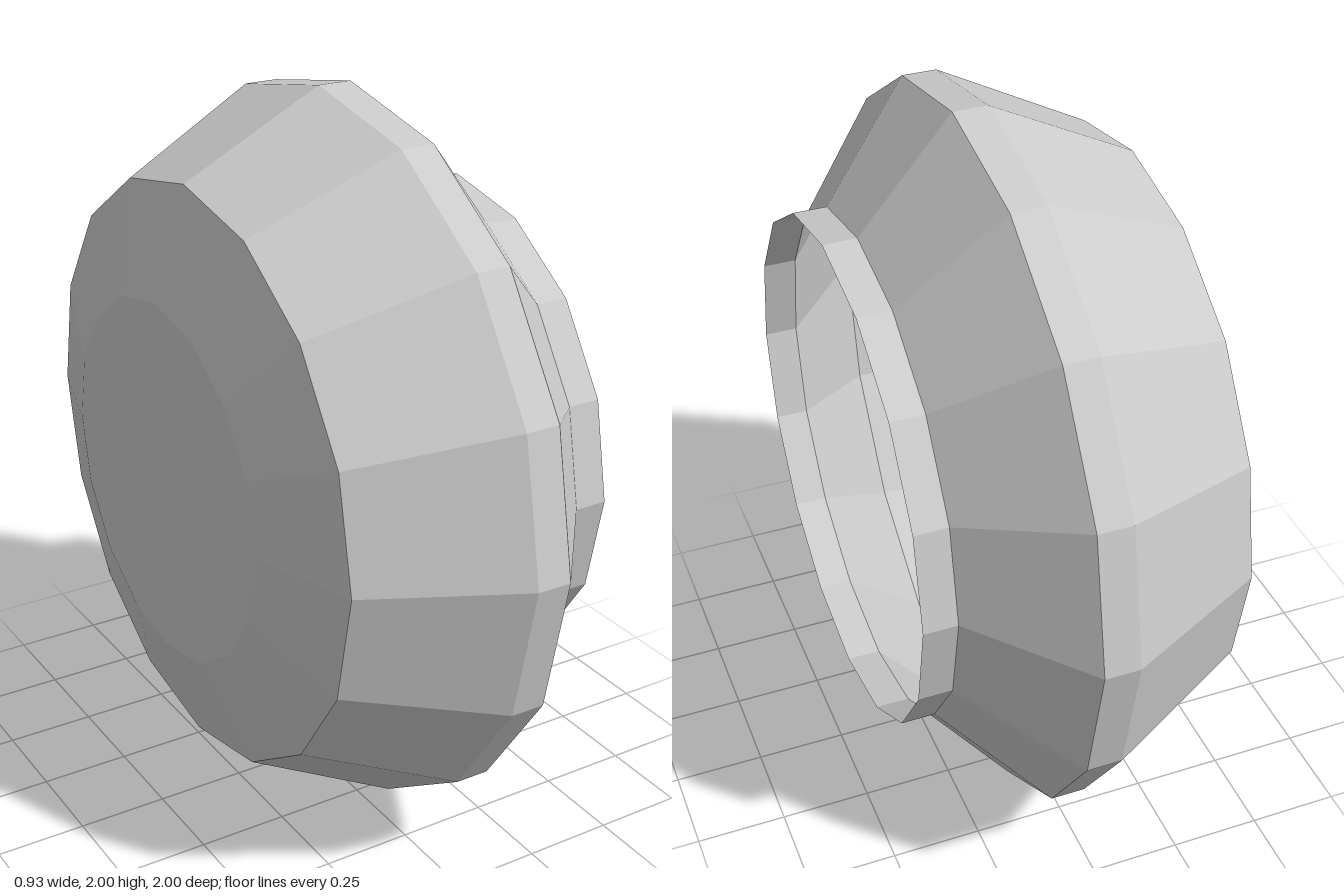
import * as THREE from 'three';

const SIDES = 16;

export function createModel() {
  const group = new THREE.Group();
  group.name = 'tippedPot';
  const material = new THREE.MeshStandardMaterial({
    color: 0xcccccc, flatShading: true, side: THREE.DoubleSide,
  });

  const add = (name, geometry) => {
    const mesh = new THREE.Mesh(geometry, material);
    mesh.name = name;
    mesh.position.y = 1;
    group.add(mesh);
  };

  // Thin band turned about the x axis, from [radius, x] pairs
  const band = (name, profile) => {
    const points = profile.map(([r, x]) => new THREE.Vector2(r, x));
    add(name, new THREE.LatheGeometry(points, SIDES).rotateZ(-Math.PI / 2));
  };

  // Closed flat base, facing -x
  add('base', new THREE.CircleGeometry(0.5, SIDES).rotateY(-Math.PI / 2).translate(-0.465, 0, 0));

  // Hollow wall: foot, belly and shoulder
  band('body', [[0.5, -0.465], [0.8, -0.375], [1, 0.02], [1, 0.115], [0.7, 0.37]]);

  // Straight open collar at the mouth
  band('collar', [[0.7, 0.37], [0.7, 0.462]]);

  return group;
}
